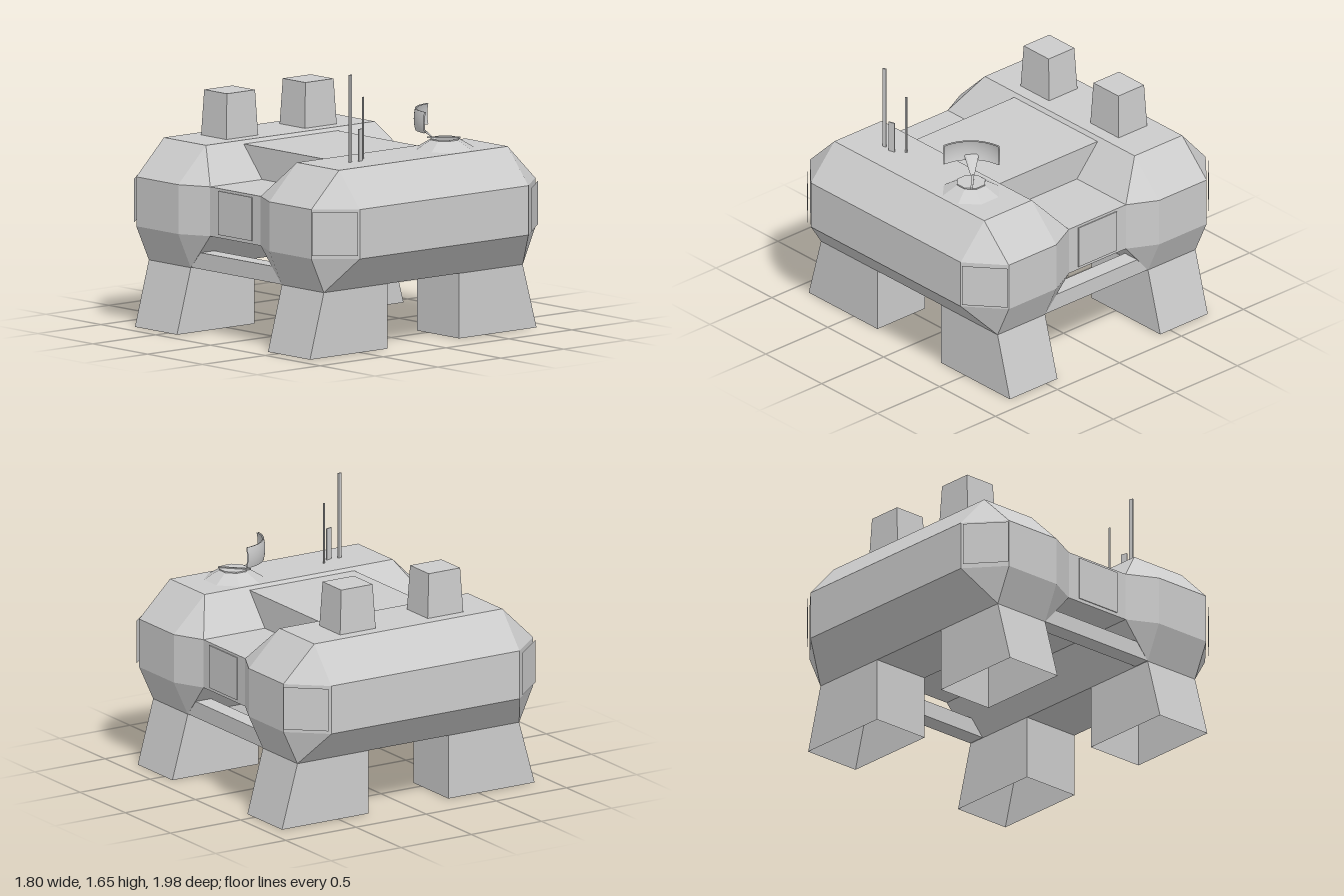
import * as THREE from 'three';
import { ConvexGeometry } from 'three/addons/geometries/ConvexGeometry.js';

const grey = new THREE.MeshStandardMaterial({ color: 0xcccccc, flatShading: true, side: THREE.DoubleSide });
const smooth = new THREE.MeshStandardMaterial({ color: 0xcccccc, side: THREE.DoubleSide });

export function createModel() {
  const model = new THREE.Group();

  const add = (name, geometry, x = 0, y = 0, z = 0, material = grey) => {
    const mesh = new THREE.Mesh(geometry, material);
    mesh.name = name;
    mesh.position.set(x, y, z);
    model.add(mesh);
    return mesh;
  };
  // box given by its limits
  const block = (name, x0, x1, y0, y1, z0, z1) =>
    add(name, new THREE.BoxGeometry(x1 - x0, y1 - y0, z1 - z0),
      (x0 + x1) / 2, (y0 + y1) / 2, (z0 + z1) / 2);
  const vec = (x, y, z) => new THREE.Vector3(x, y, z);

  // front and rear faceted pods
  for (const s of [1, -1]) {
    const points = [];
    for (const m of [1, -1]) {
      for (const y of [0.61, 0.91]) {
        for (const [x, z] of [[0.67, 0.988], [0.89, 0.798], [0.89, 0.415], [0.797, 0.23]]) {
          points.push(vec(m * x, y, s * z - 0.005));
        }
      }
      for (const z of [0.798, 0.415]) {
        points.push(vec(m * 0.67, 1.125, s * z - 0.005));
        points.push(vec(m * 0.79, 0.395, s * z - 0.005));
      }
    }
    add(s > 0 ? 'frontPod' : 'rearPod', new ConvexGeometry(points));
  }

  // body between the pods and raised deck
  block('bridge', -0.797, 0.797, 0.61, 0.91, -0.26, 0.26);
  block('deck', -0.385, 0.36, 0.9, 1.105, -0.4, 0.395);

  // flared legs, hollow and open below
  for (const sx of [1, -1]) {
    for (const sz of [1, -1]) {
      const leg = new THREE.BoxGeometry(0.505, 0.395, 0.383);
      const index = Array.from(leg.index.array);
      leg.setIndex(index.filter((v, i) => i < 12 || i >= 24));
      const p = leg.attributes.position;
      for (let i = 0; i < p.count; i++) {
        if (p.getY(i) < 0 && p.getX(i) * sx > 0) p.setX(i, p.getX(i) + sx * 0.11);
      }
      leg.computeVertexNormals();
      add('leg', leg, sx * 0.5375, 0.1975, sz * 0.6065 - 0.005);

      // plates standing just off the outer corners
      const panel = add('cornerPanel', new THREE.PlaneGeometry(0.275, 0.265),
        sx * 0.795, 0.763, sz * 0.902 - 0.003);
      panel.rotation.y = Math.atan2(sx * 0.655, sz * 0.757);
    }
    // side hatch and lower rail
    block('sideHatch', sx * 0.802 - 0.003, sx * 0.802 + 0.003, 0.63, 0.895, -0.155, 0.152);
    block('sideRail', sx * 0.735 - 0.055, sx * 0.735 + 0.055, 0.397, 0.497, -0.415, 0.42);

    // tapered stack on the rear pod
    const stack = new THREE.BoxGeometry(0.254, 0.28, 0.23);
    const q = stack.attributes.position;
    for (let i = 0; i < q.count; i++) {
      if (q.getY(i) > 0) q.setXYZ(i, q.getX(i) * 0.88, q.getY(i), q.getZ(i) * 0.9);
    }
    add('stack', stack, sx * 0.312, 1.26, -0.615);
  }

  // aerials: x, z, width, depth, top
  for (const [x, z, w, d, top] of [
    [-0.422, 0.612, 0.024, 0.01, 1.655],
    [-0.35, 0.62, 0.042, 0.008, 1.32],
    [-0.28, 0.565, 0.011, 0.008, 1.5],
  ]) {
    const aerial = block('aerial', x - w / 2, x + w / 2, 1.12, top, z - d / 2, z + d / 2);
    aerial.rotation.y = 0.3;
  }

  // octagonal dish mount
  const mount = add('dishMount', new THREE.CylinderGeometry(0.09, 0.184, 0.057, 8), 0.34, 1.152, 0.6);
  mount.rotation.y = Math.PI / 8;
  const collar = add('dishCollar', new THREE.CylinderGeometry(0.09, 0.09, 0.008, 8), 0.34, 1.184, 0.6);
  collar.rotation.y = Math.PI / 8;
  const bar = add('dishBar', new THREE.BoxGeometry(0.2, 0.008, 0.014), 0.34, 1.19, 0.59);
  bar.rotation.y = -Math.PI / 4;

  // flat bracket fanning out toward the dish
  const from = vec(0.29, 1.19, 0.545), to = vec(0.21, 1.275, 0.48);
  const fan = new THREE.CylinderGeometry(0.045, 0.012, from.distanceTo(to), 8);
  fan.scale(1, 1, 0.2);
  const mid = from.clone().add(to).multiplyScalar(0.5);
  const bracket = add('dishBracket', fan, mid.x, mid.y, mid.z);
  const up = to.clone().sub(from).normalize();
  const across = vec(1, 0, -1).normalize();
  across.addScaledVector(up, -across.dot(up)).normalize();
  bracket.quaternion.setFromRotationMatrix(
    new THREE.Matrix4().makeBasis(across, up, across.clone().cross(up)));

  // curved dish with inner and outer skin
  for (const r of [0.245, 0.254]) {
    add('dish', new THREE.SphereGeometry(r, 16, 6, -1.51, 1.49, Math.PI / 2 - 0.26, 0.52),
      0.387, 1.307, 0.648, smooth);
  }

  return model;
}
